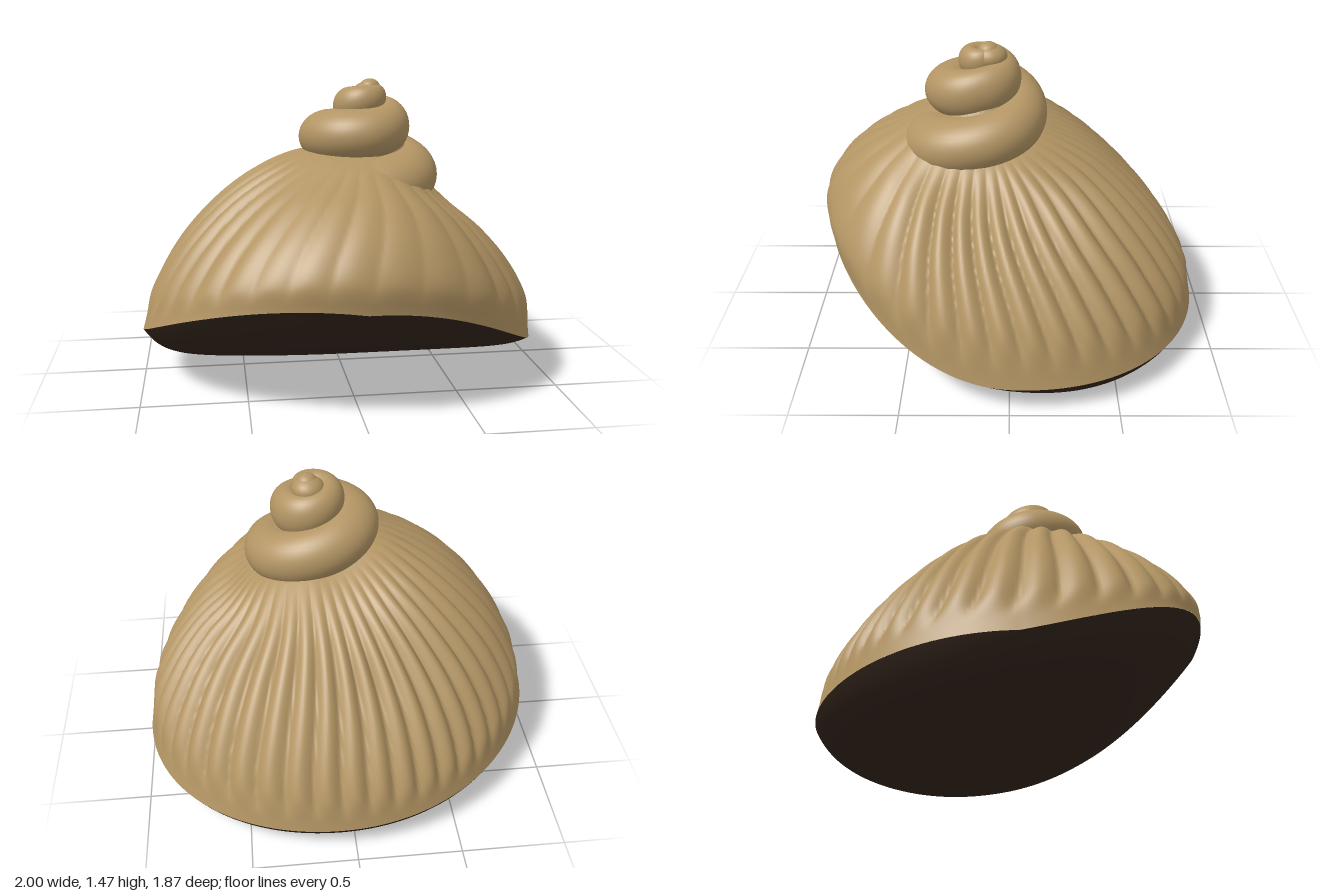
import * as THREE from 'three';

const shellMat = new THREE.MeshStandardMaterial({ color: 0xb39564 });
shellMat.name = 'sandy tan';
const baseMat = new THREE.MeshStandardMaterial({ color: 0x32241b });
baseMat.name = 'dark brown';

const { lerp, smoothstep } = THREE.MathUtils;

// Smooth surface through rows x cols points; columns wrap around
function loft(rows, cols, point) {
  const pos = [], index = [];
  for (let i = 0; i <= rows; i++)
    for (let j = 0; j < cols; j++) pos.push(...point(i / rows, (j / cols) * Math.PI * 2));
  for (let i = 0; i < rows; i++)
    for (let j = 0; j < cols; j++) {
      const k = (j + 1) % cols;
      const a = i * cols + j, b = i * cols + k, c = a + cols, d = b + cols;
      index.push(a, b, c, b, d, c);
    }
  const g = new THREE.BufferGeometry();
  g.setAttribute('position', new THREE.Float32BufferAttribute(pos, 3));
  g.setIndex(index);
  g.computeVertexNormals();
  return g;
}

const curve = (pts) => new THREE.CatmullRomCurve3(pts.map((p) => new THREE.Vector3(p[0], p[1], p[2] || 0)));

// Side profiles of the body whorl from the axis to the rim: [distance, height]
const profile = {
  left: curve([[0.12, 1.08], [0.3, 1.02], [0.42, 0.96], [0.55, 0.84], [0.7, 0.71], [0.84, 0.55], [0.95, 0.36], [0.995, 0.14]]),
  right: curve([[0.12, 1.08], [-0.1, 1.14], [-0.22, 1.13], [-0.4, 1.05], [-0.6, 0.9], [-0.8, 0.68], [-0.94, 0.43], [-0.995, 0.23]]),
  front: curve([[0.12, 1.08], [0.3, 1.13], [0.42, 1.1], [0.55, 1.03], [0.7, 0.95], [0.85, 0.81], [0.93, 0.66], [0.92, 0.53]]),
  back: curve([[0.12, 1.08], [-0.05, 1.07], [-0.18, 1.03], [-0.4, 0.91], [-0.6, 0.73], [-0.79, 0.5], [-0.9, 0.3], [-0.935, 0.14]]),
};

// Blend the four profiles around the axis, with a slightly skewed outline
function bodyPoint(v, a) {
  const c = Math.cos(a), s = Math.sin(a), mid = 0.12 * (1 - v), skew = 2 * s * c;
  const px = (c > 0 ? profile.left : profile.right).getPoint(v);
  const pz = (s > 0 ? profile.front : profile.back).getPoint(v);
  const scale = 1 + v * v * (0.01 * skew * skew - 0.035 * skew);
  const lift = s > 0 && c < 0 ? -0.085 * skew * v ** 4 : 0;
  return [
    (mid + Math.abs(c) * (px.x - mid)) * scale,
    px.y * c * c + pz.y * s * s + lift,
    (mid + Math.abs(s) * (pz.x - mid)) * scale,
  ];
}

// Rounded growth ribs that fade at the spire, the rim and the front
function ribbedPoint(v, a) {
  const p = bodyPoint(v, a);
  const c = Math.cos(a), s = Math.sin(a);
  const phase = 19 * (a + 0.25 * v * c) + 0.9 * Math.sin(3 * a) + 0.5 * Math.sin(9 * v + 2 * a);
  const fade = smoothstep(v, 0.25, 0.6) * (1 - smoothstep(v, 0.84, 0.96));
  const front = 1 - 0.75 * smoothstep(s, 0.4, 0.9);
  const d = 0.034 * fade * front * (Math.abs(Math.sin(phase)) - 0.68);
  return [p[0] + c * d * 0.8, p[1] + d * 0.7, p[2] + s * d * 0.8];
}

// Underside: a rounded lip, then a floor that rises towards the front
function basePoint(v, a) {
  const rim = bodyPoint(1, a), q = 1 - v ** 2.5;
  const x = rim[0] * q, z = rim[2] * q, u = z + 0.55;
  const floor = 0.15 * u * u + 0.055 * u ** 3 + 0.05 * Math.max(0, -x) ** 2;
  return [x, lerp(Math.min(floor, rim[1]), rim[1], q ** 14), z];
}

// Spire whorls every quarter turn from the tip: [height, outer radius, half height]
const whorls = [
  [1.405, 0.05, 0.04], [1.39, 0.085, 0.055], [1.375, 0.12, 0.07],
  [1.345, 0.165, 0.09], [1.3, 0.175, 0.105], [1.265, 0.19, 0.115], [1.225, 0.285, 0.12],
  [1.2, 0.335, 0.13], [1.12, 0.3, 0.14], [1.04, 0.33, 0.14], [0.97, 0.4, 0.15], [0.96, 0.32, 0.14],
];
const whorlCurve = curve(whorls);
function spirePoint(v, f) {
  const [h, R, half] = whorlCurve.getPoint(v).toArray();
  const turn = (v * (whorls.length - 1) - 3) / 4;
  const a = Math.PI + turn * Math.PI * 2;
  const r = R * (0.54 + 0.46 * Math.cos(f));
  return [0.12 + r * Math.cos(a), h + half * Math.sin(f), 0.12 + r * Math.sin(a)];
}

export function createModel() {
  const group = new THREE.Group();
  const add = (name, geometry, material, x = 0, y = 0, z = 0) => {
    const mesh = new THREE.Mesh(geometry, material);
    mesh.name = name;
    mesh.position.set(x, y, z);
    group.add(mesh);
  };
  add('bodyWhorl', loft(64, 420, ribbedPoint), shellMat);
  add('underside', loft(40, 160, basePoint), baseMat);
  add('spire', loft(220, 36, spirePoint), shellMat);

  // Core that closes the gaps between the whorls
  add('spireCore', new THREE.CylinderGeometry(0.06, 0.27, 0.36, 40), shellMat, 0.12, 1.2, 0.12);

  // Rounded tip with a small knob
  add('spireTip', new THREE.SphereGeometry(0.08, 24, 16).scale(1, 0.75, 1), shellMat, 0.13, 1.4, 0.09);
  add('spireKnob', new THREE.SphereGeometry(0.05, 20, 14).scale(1, 0.8, 1), shellMat, 0.135, 1.433, 0.1);
  return group;
}
